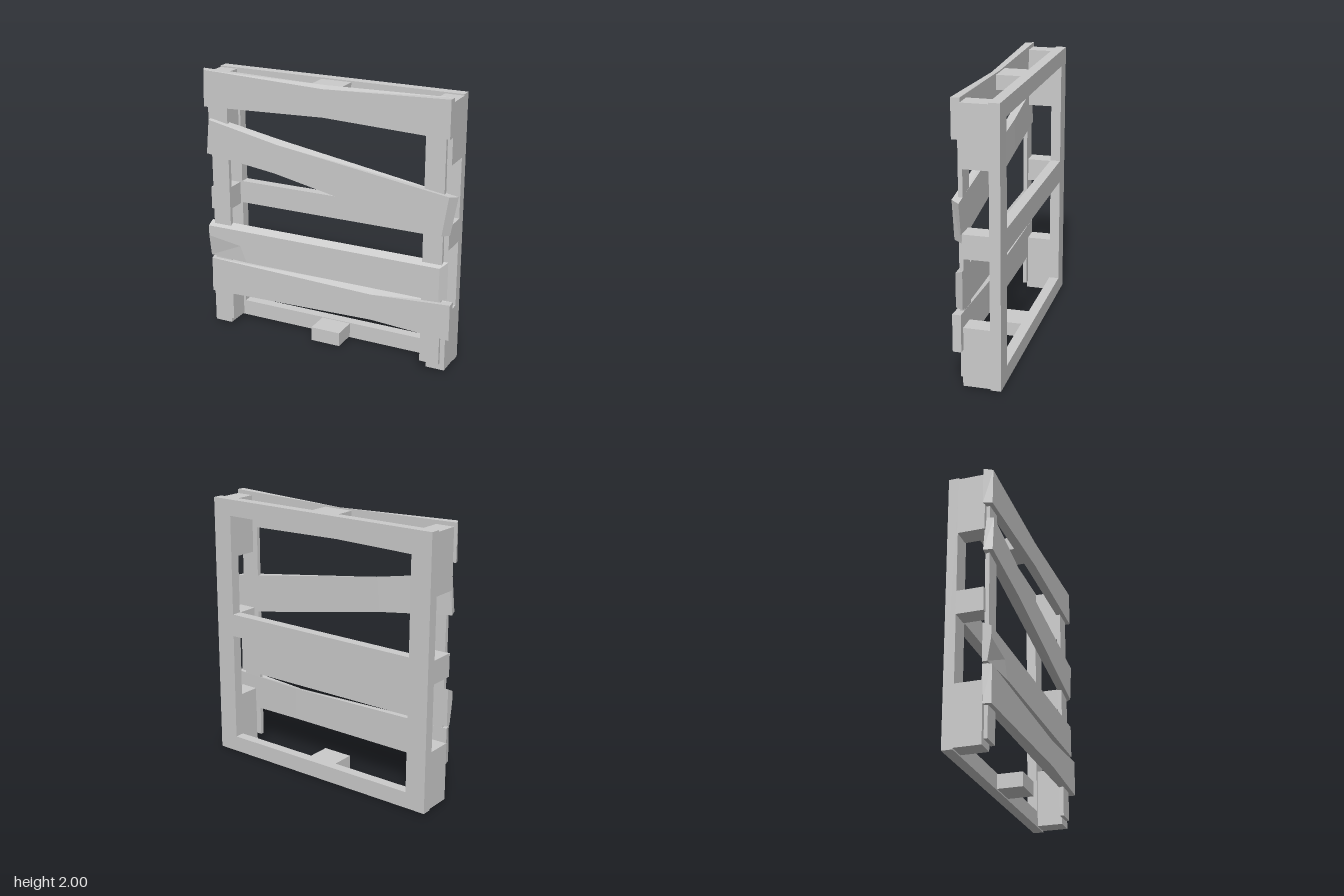
import * as THREE from 'three';

const material = new THREE.MeshStandardMaterial({ color: 0xcccccc, flatShading: true });

export function createModel() {
  const model = new THREE.Group();

  function add(name, geometry) {
    const mesh = new THREE.Mesh(geometry, material);
    mesh.name = name;
    model.add(mesh);
    return mesh;
  }

  // Box given by its limits on each axis
  function box(name, [x0, x1], [y0, y1], [z0, z1]) {
    add(name, new THREE.BoxGeometry(x1 - x0, y1 - y0, z1 - z0))
      .position.set((x0 + x1) / 2, (y0 + y1) / 2, (z0 + z1) / 2);
  }

  // Warped plank lofted through rings of [x, y, z], left to right;
  // each ring runs front top, front bottom, back bottom, back top
  function plank(name, rings) {
    const n = rings[0].length, last = rings.length - 1, out = [];
    const tri = (a, b, c) => out.push(...a, ...b, ...c);
    for (let s = 0; s < last; s++) {
      for (let i = 0; i < n; i++) {
        const j = (i + 1) % n;
        const a = rings[s][i], b = rings[s][j], c = rings[s + 1][j], d = rings[s + 1][i];
        tri(a, b, d);
        tri(b, c, d);
      }
    }
    for (let i = 1; i < n - 1; i++) {
      tri(rings[0][0], rings[0][i + 1], rings[0][i]);
      tri(rings[last][0], rings[last][i], rings[last][i + 1]);
    }
    const geometry = new THREE.BufferGeometry();
    geometry.setAttribute('position', new THREE.Float32BufferAttribute(out, 3));
    geometry.computeVertexNormals();
    add(name, geometry);
  }

  const L = -0.96, R = 0.93, F = 0.16, B = 0.10;

  // Flat back frame with a middle rail
  const frame = new THREE.Shape();
  frame.moveTo(L, 0).lineTo(R, 0).lineTo(R, 1.98).lineTo(L, 1.98).closePath();
  for (const [y0, y1] of [[0.12, 0.94], [1.11, 1.86]]) {
    const hole = new THREE.Path();
    hole.moveTo(L + 0.155, y0).lineTo(L + 0.155, y1).lineTo(R - 0.155, y1).lineTo(R - 0.155, y0).closePath();
    frame.holes.push(hole);
  }
  add('backFrame', new THREE.ExtrudeGeometry(frame, { depth: 0.075, bevelEnabled: false }).translate(0, 0, -0.16));

  // Spacer blocks down both sides
  for (const [side, x] of [['right', [L, L + 0.138]], ['left', [R - 0.138, R]]]) {
    for (const [level, y] of [['Bottom', [0.01, 0.44]], ['Middle', [0.93, 1.10]], ['Top', [1.54, 1.97]]]) {
      box(side + level + 'Block', x, y, [-0.09, 0.105]);
    }
  }
  // Spacer blocks in the centre of the top and bottom rails
  box('centreBottomBlock', [-0.13, 0.10], [0.01, 0.115], [-0.09, 0.10]);
  box('centreTopBlock', [-0.13, 0.10], [1.865, 1.97], [-0.09, 0.105]);

  // Upright strips behind the slats
  box('rightStrip', [-0.925, -0.785], [0.06, 1.92], [0.10, 0.13]);
  box('leftStrip', [0.75, 0.895], [0.06, 1.92], [0.10, 0.13]);

  // Top slat, pinched at its centre
  plank('topSlat', [
    [[-0.95, 2, F], [-0.96, 1.73, F], [-0.985, 1.73, B], [-0.985, 2, B]],
    [[0, 1.965, F], [0, 1.765, F], [0, 1.75, B], [0, 1.98, B]],
    [[0.93, 2, F], [0.93, 1.73, F], [0.93, 1.73, B], [0.93, 2, B]],
  ]);

  // Slipped slat, hanging at an angle
  plank('slantedSlat', [
    [[-0.925, 1.635, F], [-0.95, 1.378, F], [-0.97, 1.37, B], [-0.925, 1.645, B]],
    [[-0.36, 1.52, F], [-0.385, 1.305, F], [-0.385, 1.287, 0.09], [-0.36, 1.537, 0.09]],
    [[0.94, 1.335, F], [0.895, 1.047, F], [0.935, 1.04, B], [0.985, 1.325, B]],
  ]);

  // Straight slat with a chipped lower corner; the rings have an extra front point
  plank('chippedSlat', [
    [[L, 0.81, F], [L, 0.73, F], [L, 0.565, 0.135], [L, 0.565, B], [L, 0.84, B]],
    [[-0.69, 0.81, F], [-0.69, 0.69, F], [-0.64, 0.565, F], [-0.64, 0.565, B], [-0.69, 0.84, B]],
    [[0.89, 0.81, F], [0.89, 0.69, F], [0.89, 0.565, F], [R, 0.565, B], [R, 0.84, B]],
  ]);

  // Bottom slat, pinched towards one end
  plank('bottomSlat', [
    [[-0.94, 0.55, F], [-0.945, 0.28, F], [L, 0.28, B], [L, 0.55, B]],
    [[0.38, 0.512, F], [0.38, 0.315, F], [0.38, 0.29, 0.09], [0.38, 0.535, 0.09]],
    [[0.975, 0.55, F], [0.975, 0.28, F], [0.975, 0.28, B], [0.975, 0.55, B]],
  ]);

  return model;
}
